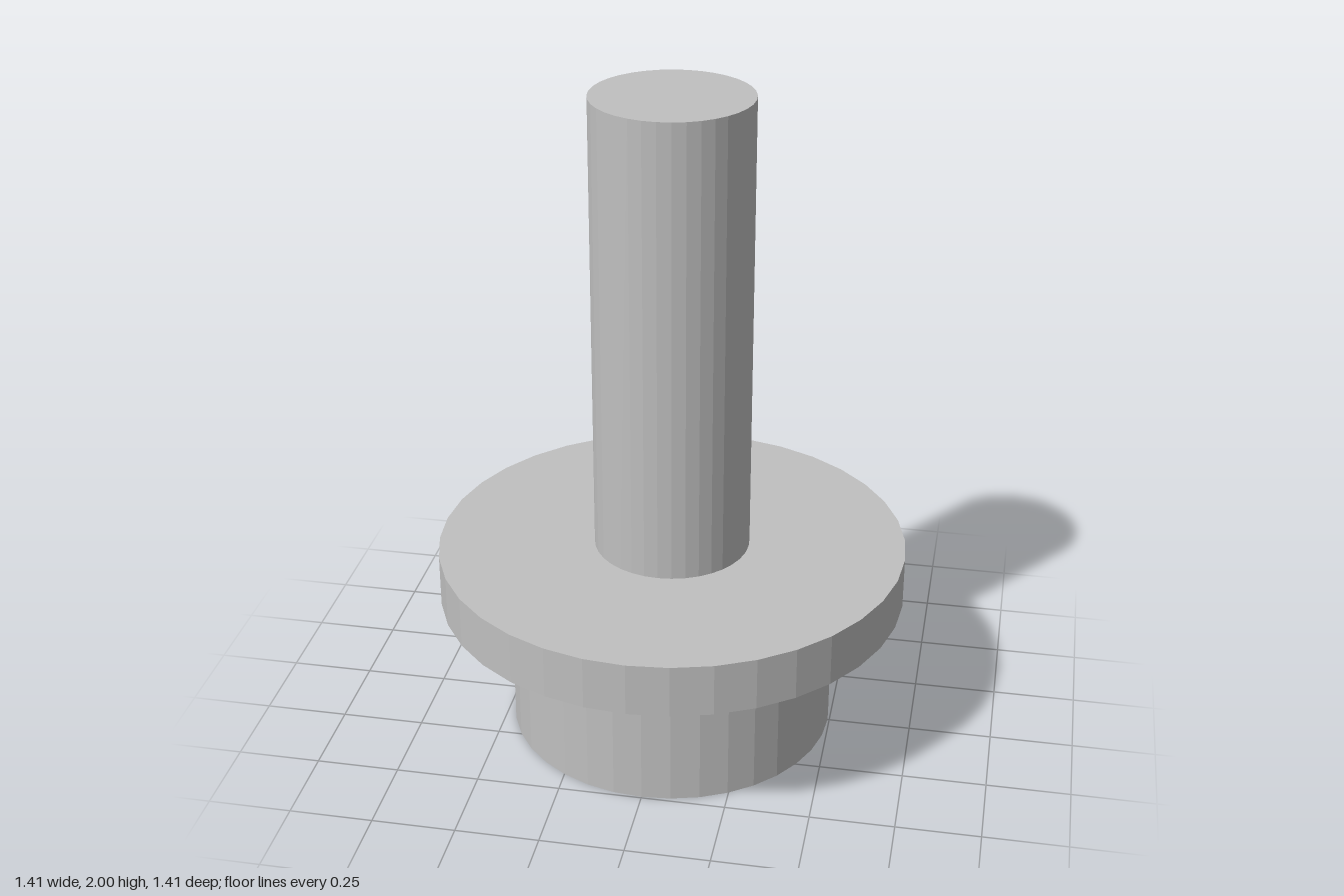
import * as THREE from 'three';

const SIDES = 36;

export function createModel() {
  const group = new THREE.Group();
  const steel = new THREE.MeshStandardMaterial({ color: 0xc0c0c0, flatShading: true });
  steel.name = 'steel grey';

  const add = (name, geometry) => {
    const mesh = new THREE.Mesh(geometry, steel);
    mesh.name = name;
    group.add(mesh);
  };

  // Straight round section between two heights
  const round = (name, radius, bottom, top) => {
    const geometry = new THREE.CylinderGeometry(radius, radius, top - bottom, SIDES);
    geometry.translate(0, (bottom + top) / 2, 0);
    add(name, geometry);
  };

  const headRadius = 0.495, slotDepth = 0.03, slotX = 0.245, slotZ = 0.05;

  // Bottom face of the head, cut through by the driver slot
  const outline = [];
  for (let i = 0; i < SIDES; i++) {
    const a = (i / SIDES) * Math.PI * 2;
    outline.push(new THREE.Vector2(headRadius * Math.cos(a), headRadius * Math.sin(a)));
  }
  const face = new THREE.Shape(outline);
  face.holes.push(new THREE.Path([
    new THREE.Vector2(-slotX, -slotZ),
    new THREE.Vector2(-slotX, slotZ),
    new THREE.Vector2(slotX, slotZ),
    new THREE.Vector2(slotX, -slotZ),
  ]));
  const slotted = new THREE.ExtrudeGeometry(face, { depth: slotDepth, bevelEnabled: false });
  slotted.rotateX(-Math.PI / 2);
  add('slottedFace', slotted);

  // Head, flange and shaft
  round('head', headRadius, slotDepth, 0.44);
  round('flange', 0.707, 0.44, 0.6);
  round('shaft', 0.235, 0.6, 2);

  return group;
}
